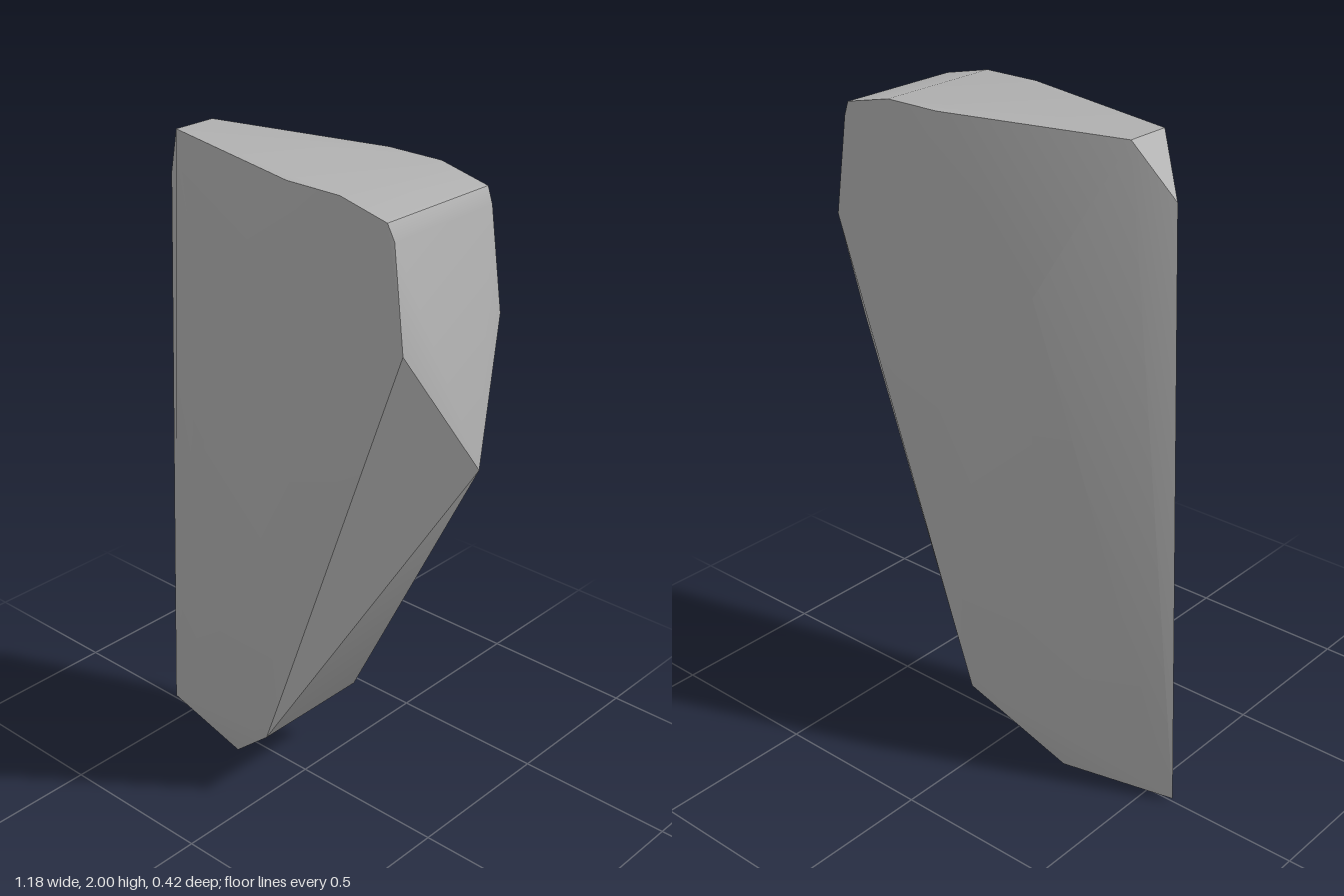
import * as THREE from 'three';
import { ConvexGeometry } from 'three/addons/geometries/ConvexGeometry.js';
import { toCreasedNormals } from 'three/addons/utils/BufferGeometryUtils.js';

export function createModel() {
  const group = new THREE.Group();
  group.name = 'stoneShard';
  const stone = new THREE.MeshStandardMaterial({ color: 0xb0b0b0 });
  stone.name = 'grey stone';

  // Corners on the thin left edge and the off-centre right tip
  const points = [[-0.59, 0.01, 0], [-0.52, 1.84, 0], [0.59, 1.25, -0.04]]
    .map((p) => new THREE.Vector3(...p));

  // Corners mirrored from front to back
  const mirrored = [
    [-0.42, 2, 0.07], [0.12, 2, 0.2], [0.3, 2, 0.2], // top outline
    [0.455, 1.965, 0.2], [0.475, 1.92, 0.195], [0.515, 1.63, 0.2], // right shoulder
    [0.1, 0.45, 0.2], [0.025, 0.24, 0.2], [-0.23, 0, 0.07], // lower right edge
    [-0.21, 1.56, 0.2], [-0.21, 0.61, 0.2], // ends of the wedge crease
    [0.22, 1.8, 0.21], [0.08, 0.75, 0.207], // slight bulge of the broad faces
  ];
  for (const [x, y, z] of mirrored) {
    points.push(new THREE.Vector3(x, y, z), new THREE.Vector3(x, y, -z));
  }

  // Soft broad faces, sharp chamfers
  const shard = new THREE.Mesh(toCreasedNormals(new ConvexGeometry(points), 0.5), stone);
  shard.name = 'shard';
  group.add(shard);
  return group;
}
